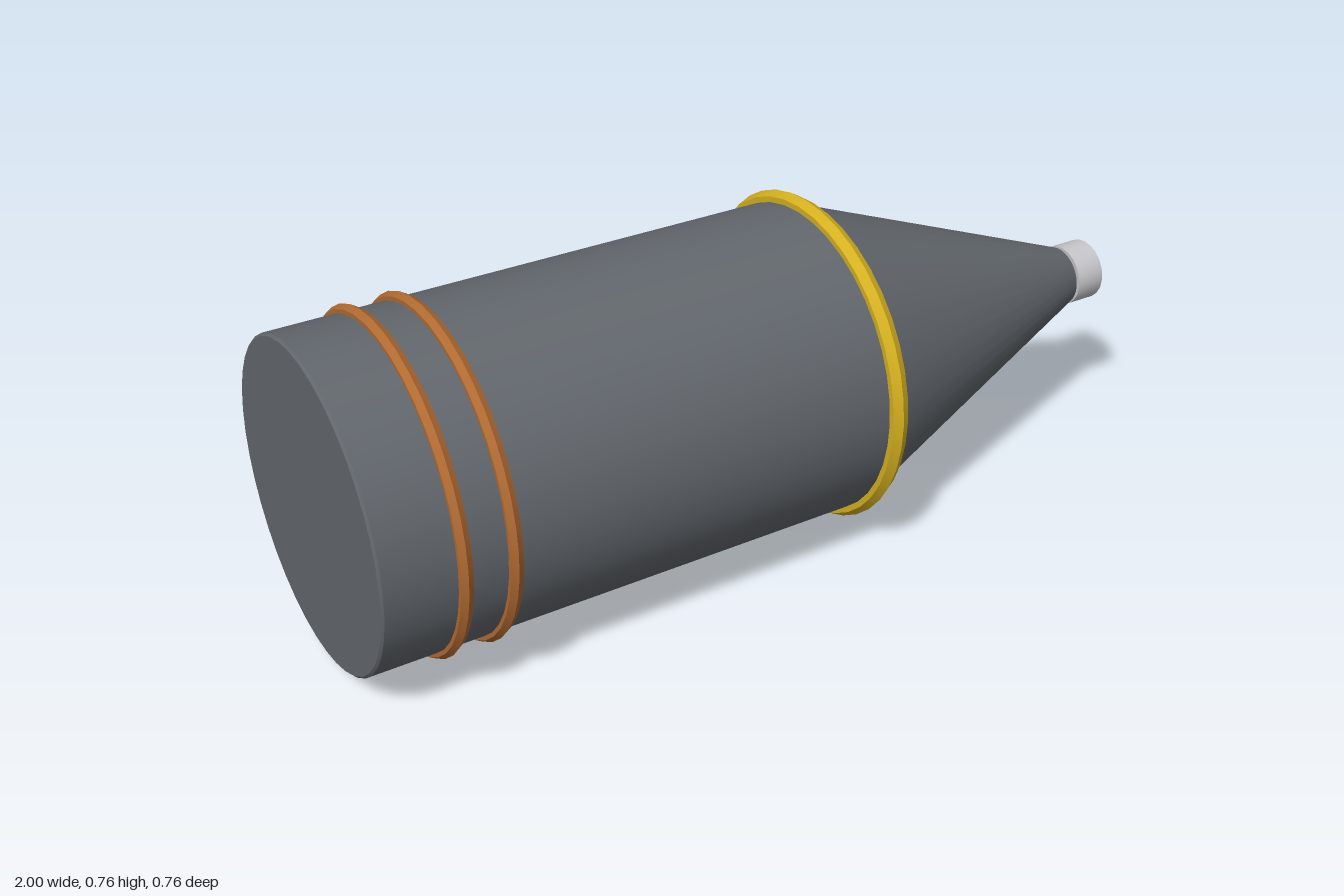
import * as THREE from 'three';
import { toCreasedNormals } from 'three/addons/utils/BufferGeometryUtils.js';

const AXIS_Y = 0.378, R = 0.354, SIDES = 40;

export function createModel() {
  const steel = new THREE.MeshStandardMaterial({ name: 'dark steel', color: 0x62676d });
  const brass = new THREE.MeshStandardMaterial({ name: 'yellow band', color: 0xd4b020 });
  const copper = new THREE.MeshStandardMaterial({ name: 'copper', color: 0xb06a32 });
  const silver = new THREE.MeshStandardMaterial({ name: 'silver', color: 0xc6c6ca });

  const group = new THREE.Group();
  group.name = 'shell';

  function add(name, geometry, material, x) {
    const mesh = new THREE.Mesh(geometry, material);
    mesh.name = name;
    mesh.position.set(x, AXIS_Y, 0);
    group.add(mesh);
  }

  // Profile of [x, radius] pairs turned around the long axis
  function turned(points, sides) {
    const profile = points.map(([x, r]) => new THREE.Vector2(r, x));
    const geometry = new THREE.LatheGeometry(profile, sides).rotateZ(-Math.PI / 2);
    return toCreasedNormals(geometry, 0.33);
  }

  // Six-sided band around the long axis
  function band(radius, tube) {
    const geometry = new THREE.TorusGeometry(radius, tube, 6, SIDES).rotateY(Math.PI / 2);
    return toCreasedNormals(geometry, 0.5);
  }

  // Casing with a slightly eased rear edge
  add('body', turned([[-1, 0], [-1, R - 0.005], [-0.995, R], [0.175, R], [0.175, 0]], SIDES), steel, 0);
  // Tapered nose and its separate tip
  add('nose', turned([[0.175, 0], [0.175, R], [0.92, 0.071], [0.92, 0]], SIDES), steel, 0);
  add('tip', turned([[0.928, 0], [0.928, 0.072], [1, 0.072], [1, 0]], 20), silver, 0);

  // Bands
  add('frontBand', band(0.356, 0.022), brass, 0.175);
  [-0.83, -0.725].forEach((x, i) => add('rearBand' + (i + 1), band(0.355, 0.016), copper, x));

  return group;
}
